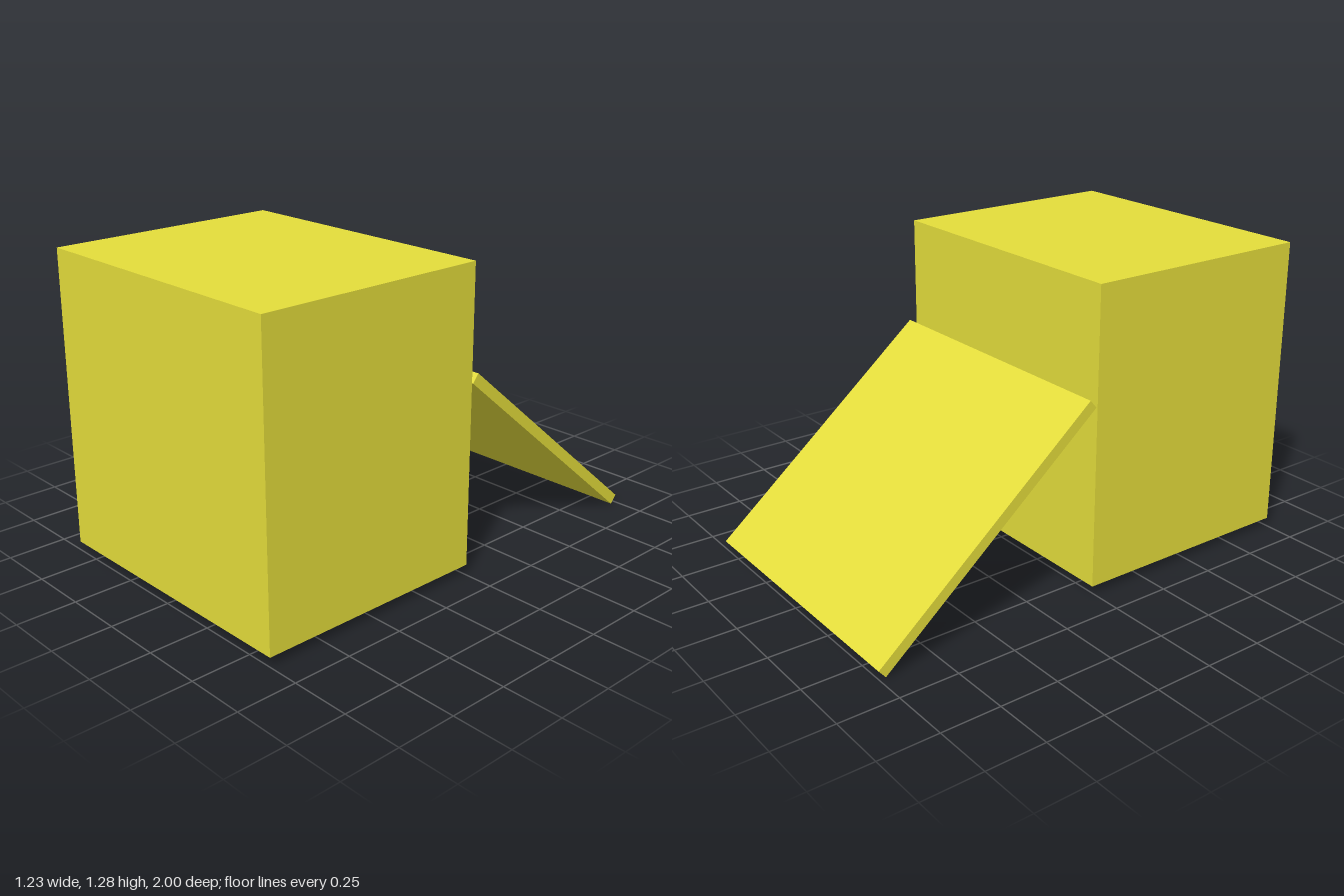
import * as THREE from 'three';

export function createModel() {
  const model = new THREE.Group();
  const yellow = new THREE.MeshStandardMaterial({ color: 0xe4dd3b });
  yellow.name = 'yellow';

  const width = 1.23;
  const addBox = (name, height, depth, y, z) => {
    const mesh = new THREE.Mesh(new THREE.BoxGeometry(width, height, depth), yellow);
    mesh.name = name;
    mesh.position.set(0, y, z);
    model.add(mesh);
    return mesh;
  };

  // Main block, raised slightly off the ground
  addBox('block', 1.242, 1.01, 0.659, 0.495);

  // Thin ramp sloping down behind the block to the ground
  const ramp = addBox('ramp', 0.045, 1.247, 0.418, -0.508);
  ramp.rotation.x = THREE.MathUtils.degToRad(-40);

  return model;
}
